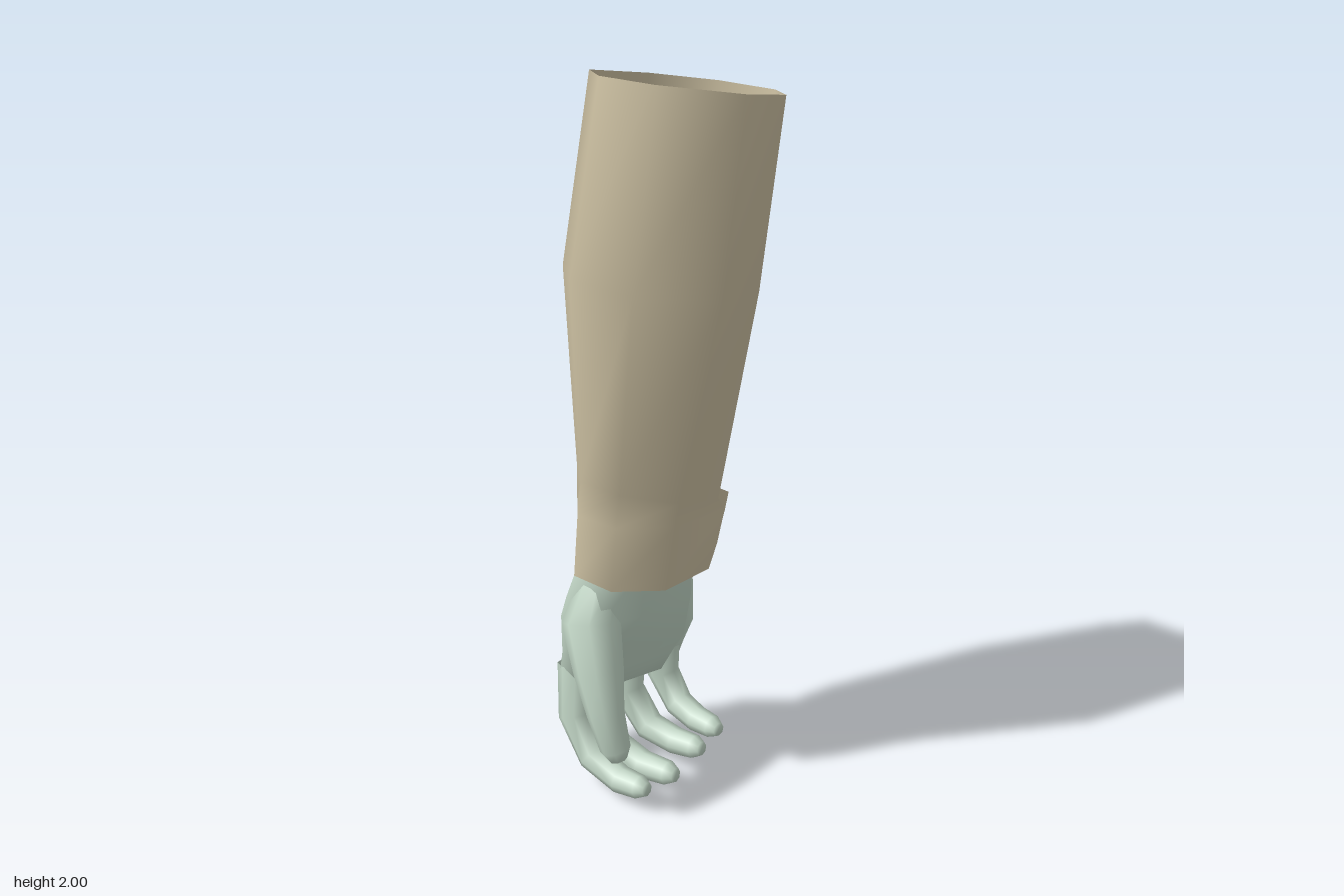
import * as THREE from 'three';

const sleeveMat = new THREE.MeshStandardMaterial({ color: 0xcbbfa1, side: THREE.DoubleSide });
sleeveMat.name = 'beige cloth';
const handMat = new THREE.MeshStandardMaterial({ color: 0xc2d6c6, side: THREE.DoubleSide });
handMat.name = 'pale green skin';

// Smooth skin through equal-sized rings of [x, y, z], optionally closed at the end
function loft(rings, capEnd, hardCap) {
  const n = rings[0].length;
  const all = hardCap ? [...rings, rings[rings.length - 1]] : rings;
  const pos = all.flat(2);
  const index = [];
  for (let i = 0; i < rings.length - 1; i++) {
    for (let k = 0; k < n; k++) {
      const a = i * n + k, b = i * n + (k + 1) % n;
      index.push(a, a + n, b, b, a + n, b + n);
    }
  }
  if (capEnd) {
    const last = all[all.length - 1], base = (all.length - 1) * n, centre = all.length * n;
    for (let j = 0; j < 3; j++) pos.push(last.reduce((s, p) => s + p[j], 0) / n);
    for (let k = 0; k < n; k++) index.push(base + k, centre, base + (k + 1) % n);
  }
  const g = new THREE.BufferGeometry();
  g.setAttribute('position', new THREE.Float32BufferAttribute(pos, 3));
  g.setIndex(index);
  g.computeVertexNormals();
  return g;
}

// Ring from [x, z] pairs with a sloping height
const ring = (points, y, sx = 0, sz = 0) => points.map(([x, z]) => [x, y + sx * x + sz * z, z]);

// Bent digit along [x, y, z, radius] joints
function digit(joints, sides = 8) {
  const P = joints.map(j => new THREE.Vector3(j[0], j[1], j[2]));
  const rings = [];
  const addRing = (c, t, r) => {
    const u = new THREE.Vector3(0, 0, 1);
    u.addScaledVector(t, -u.dot(t)).normalize();
    const v = u.clone().cross(t);
    rings.push(Array.from({ length: sides }, (_, k) => {
      const a = (k / sides) * Math.PI * 2;
      return c.clone().addScaledVector(u, r * Math.cos(a)).addScaledVector(v, r * Math.sin(a)).toArray();
    }));
  };
  let t;
  P.forEach((p, i) => {
    t = P[Math.min(i + 1, P.length - 1)].clone().sub(P[Math.max(i - 1, 0)]).normalize();
    addRing(p, t, joints[i][3]);
  });
  // Rounded tip
  const last = P[P.length - 1], r = joints[joints.length - 1][3];
  addRing(last.clone().addScaledVector(t, r * 0.75), t, r * 0.6);
  return loft(rings, true, false);
}

export function createModel() {
  const model = new THREE.Group();
  model.name = 'forearm';
  const add = (name, geometry, material) => {
    const m = new THREE.Mesh(geometry, material);
    m.name = name;
    model.add(m);
  };

  // Open-topped sleeve with a cuff that bulges at the back
  add('sleeve', loft([
    ring([[-0.15, -0.13], [-0.15, 0.07], [-0.01, 0.175], [0.135, 0.145],
      [0.25, -0.03], [0.225, -0.2], [0.115, -0.295], [-0.05, -0.275]], 1.97, 0, 0.17),
    ring([[-0.205, -0.08], [-0.19, 0.135], [-0.05, 0.243], [0.135, 0.22],
      [0.257, 0.045], [0.2, -0.155], [0.08, -0.25], [-0.09, -0.225]], 1.49, 0, 0.17),
    ring([[-0.195, -0.04], [-0.185, 0.11], [-0.07, 0.205], [0.05, 0.185],
      [0.14, 0.06], [0.13, -0.1], [0.035, -0.185], [-0.1, -0.16]], 0.92, 0, 0.3),
    ring([[-0.193, -0.04], [-0.182, 0.115], [-0.075, 0.215], [0.045, 0.195],
      [0.128, 0.065], [0.128, -0.13], [0.05, -0.235], [-0.1, -0.185]], 0.86, 0, 0.12),
    ring([[-0.175, -0.02], [-0.17, 0.12], [-0.08, 0.228], [0.03, 0.2],
      [0.11, 0.08], [0.11, -0.09], [0.04, -0.203], [-0.09, -0.17]], 0.692, -0.14, 0.03),
  ], true, true), sleeveMat);

  // Wrist and palm, palm side towards +x
  add('palm', loft([
    ring([[-0.14, 0.05], [-0.125, 0.14], [-0.085, 0.205], [0.01, 0.18],
      [0.05, 0.09], [0.075, -0.06], [0, -0.1], [-0.09, -0.085]], 0.74),
    ring([[-0.19, 0.05], [-0.2, 0.15], [-0.14, 0.225], [-0.02, 0.21],
      [0.02, 0.08], [0.045, -0.09], [-0.01, -0.16], [-0.1, -0.135]], 0.56),
    ring([[-0.235, 0.03], [-0.245, 0.12], [-0.19, 0.18], [-0.09, 0.18],
      [-0.06, 0.06], [0, -0.11], [-0.04, -0.195], [-0.13, -0.18]], 0.4),
    ring([[-0.24, 0.02], [-0.255, 0.11], [-0.22, 0.165], [-0.14, 0.16],
      [-0.11, 0.05], [-0.06, -0.11], [-0.08, -0.2], [-0.15, -0.19]], 0.31),
    ring([[-0.215, 0.03], [-0.225, 0.11], [-0.2, 0.15], [-0.15, 0.145],
      [-0.125, 0.04], [-0.085, -0.11], [-0.09, -0.18], [-0.14, -0.17]], 0.25),
  ], true, false), handMat);

  // Fingers curled towards +x
  const fingers = {
    indexFinger: [[-0.2, 0.33, 0.12, 0.053], [-0.175, 0.18, 0.15, 0.05], [-0.09, 0.085, 0.165, 0.044], [0.02, 0.063, 0.165, 0.04], [0.09, 0.072, 0.16, 0.034]],
    middleFinger: [[-0.195, 0.33, 0.04, 0.053], [-0.185, 0.165, 0.06, 0.05], [-0.1, 0.06, 0.06, 0.046], [0, 0.043, 0.055, 0.041], [0.09, 0.055, 0.045, 0.035]],
    ringFinger: [[-0.165, 0.33, -0.05, 0.053], [-0.16, 0.18, -0.045, 0.049], [-0.07, 0.09, -0.045, 0.044], [0.03, 0.085, -0.05, 0.039], [0.1, 0.097, -0.055, 0.034]],
    littleFinger: [[-0.115, 0.33, -0.145, 0.052], [-0.115, 0.21, -0.15, 0.047], [-0.04, 0.135, -0.14, 0.042], [0.04, 0.125, -0.13, 0.038], [0.105, 0.132, -0.125, 0.033]],
  };
  for (const [name, joints] of Object.entries(fingers)) add(name, digit(joints), handMat);

  // Thumb hanging in front of the palm
  add('thumb', digit([[-0.07, 0.66, 0.155, 0.05], [-0.06, 0.56, 0.19, 0.08],
    [0, 0.44, 0.222, 0.068], [0.045, 0.34, 0.243, 0.051], [0.077, 0.24, 0.24, 0.042]]), handMat);

  return model;
}
